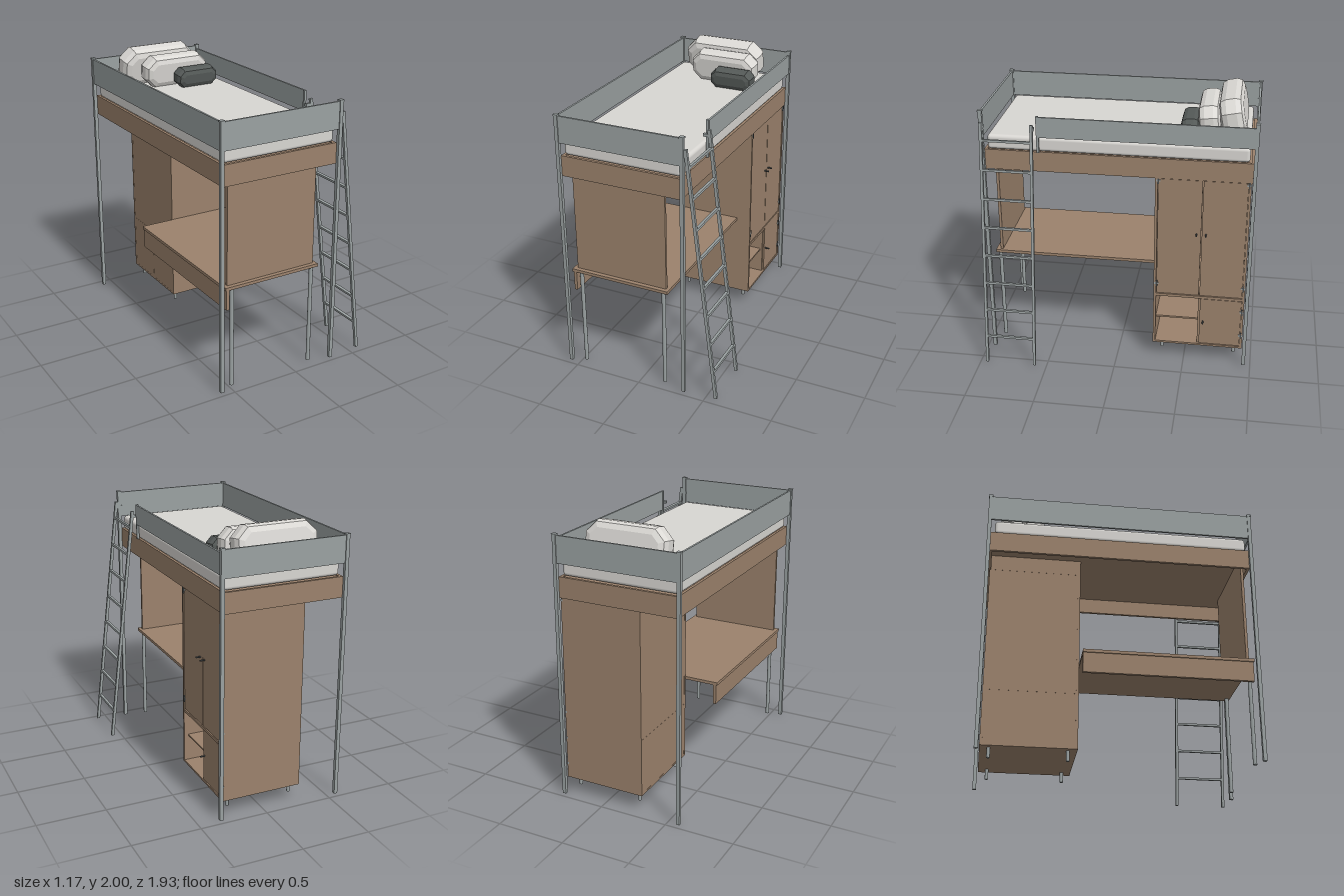
import * as THREE from 'three';
import { RoundedBoxGeometry } from 'three/addons/geometries/RoundedBoxGeometry.js';

const mat = (color, flatShading = false) => new THREE.MeshStandardMaterial({ color, flatShading });

export function createModel() {
  const model = new THREE.Group();
  const wood = mat(0x9b826c), metal = mat(0x9aa1a1), steel = mat(0x4a4e4f);
  const linen = mat(0xd8d6d2), pale = mat(0xdcdad6, true), dark = mat(0x555a58, true);

  const add = (name, geometry, material, parent = model) => {
    const mesh = new THREE.Mesh(geometry, material);
    mesh.name = name;
    parent.add(mesh);
    return mesh;
  };
  // Box given by its extents on each axis
  const box = (name, material, [x0, x1], [y0, y1], [z0, z1], parent = model) => {
    const mesh = add(name, new THREE.BoxGeometry(x1 - x0, y1 - y0, z1 - z0), material, parent);
    mesh.position.set((x0 + x1) / 2, (y0 + y1) / 2, (z0 + z1) / 2);
    return mesh;
  };
  const group = (name) => {
    const g = new THREE.Group();
    g.name = name;
    model.add(g);
    return g;
  };

  // Corner posts with small caps
  const posts = group('cornerPosts');
  for (const x of [-0.575, 0.33]) for (const z of [-0.95, 0.95]) {
    box('post', metal, [x - 0.013, x + 0.013], [0.005, 1.91], [z - 0.013, z + 0.013], posts);
    box('postCap', metal, [x - 0.016, x + 0.016], [1.908, 1.92], [z - 0.016, z + 0.016], posts);
  }

  // Guard rails; the right one stops short of the ladder
  const guards = group('guardRails');
  for (const z of [-0.95, 0.95])
    box('endGuard', metal, [-0.575, 0.33], [1.72, 1.91], [z - 0.007, z + 0.007], guards);
  box('leftGuard', metal, [-0.582, -0.568], [1.72, 1.91], [-0.95, 0.95], guards);
  box('rightGuard', metal, [0.324, 0.338], [1.74, 1.888], [-0.95, 0.555], guards);
  box('guardSupport', metal, [0.317, 0.334], [1.625, 1.89], [0.545, 0.562], guards);

  // Wooden bed frame and base
  const frame = group('bedFrame');
  for (const z of [-0.931, 0.931])
    box('endBoard', wood, [-0.562, 0.316], [1.478, 1.625], [z - 0.01, z + 0.01], frame);
  for (const x of [-0.552, 0.306])
    box('sideBoard', wood, [x - 0.01, x + 0.01], [1.478, 1.625], [-0.922, 0.922], frame);
  box('bedBase', wood, [-0.545, 0.3], [1.595, 1.618], [-0.925, 0.925], frame);

  const mattress = add('mattress', new RoundedBoxGeometry(0.86, 0.107, 1.83, 3, 0.025), linen);
  mattress.position.set(-0.122, 1.677, 0.005);

  // Faceted cushions: bevelled octagon blocks
  const cushion = (name, material, w, h, t, x, y, z, lean) => {
    const b = t * 0.3, hw = w / 2 - b, hh = h / 2 - b, c = Math.min(hh * 0.6, 0.05);
    const pts = [[hw, hh - c], [hw - c, hh], [c - hw, hh], [-hw, hh - c],
      [-hw, c - hh], [c - hw, -hh], [hw - c, -hh], [hw, c - hh]];
    const shape = new THREE.Shape(pts.map(([u, v]) => new THREE.Vector2(u, v)));
    const geometry = new THREE.ExtrudeGeometry(shape,
      { depth: t - 2 * b, bevelThickness: b, bevelSize: b, bevelSegments: 2 });
    geometry.translate(0, 0, b - t / 2);
    const mesh = add(name, geometry, material);
    mesh.position.set(x, y, z);
    mesh.rotation.x = lean;
  };
  cushion('largePillow', pale, 0.6, 0.28, 0.17, -0.125, 1.863, -0.775, 0.2);
  cushion('mediumPillow', pale, 0.51, 0.23, 0.15, -0.06, 1.842, -0.617, 0.12);
  cushion('smallCushion', dark, 0.33, 0.145, 0.13, 0.055, 1.8, -0.49, 0.1);

  // Wardrobe carcass
  const wardrobe = group('wardrobe');
  const depth = [-0.285, 0.296];
  for (const z of [-0.275, -0.922])
    box('sidePanel', wood, [-0.285, 0.313], [0.13, 1.595], [z - 0.009, z + 0.009], wardrobe);
  box('backPanel', wood, [-0.284, -0.27], [0.13, 1.595], [-0.92, -0.275], wardrobe);
  box('bottomPanel', wood, [-0.285, 0.312], [0.13, 0.145], [-0.925, -0.27], wardrobe);
  box('middlePanel', wood, [-0.285, 0.312], [0.535, 0.555], [-0.925, -0.27], wardrobe);
  box('topPanel', wood, [-0.285, 0.312], [1.478, 1.595], [-0.925, -0.27], wardrobe);
  box('divider', wood, depth, [0.14, 0.54], [-0.61, -0.595], wardrobe);
  box('shelf', wood, [-0.28, 0.28], [0.335, 0.348], [-0.6, -0.28], wardrobe);

  // Doors, knobs, hinges and feet
  const doors = [['leftDoor', 0.56, 1.473, -0.597, -0.287], ['rightDoor', 0.56, 1.473, -0.911, -0.603],
    ['lowerDoor', 0.15, 0.53, -0.911, -0.61]];
  for (const [name, y0, y1, z0, z1] of doors)
    box(name, wood, [0.292, 0.308], [y0, y1], [z0, z1], wardrobe);
  for (const [y, z] of [[1.06, -0.565], [1.06, -0.632], [0.34, -0.635]]) {
    const knob = add('knob', new THREE.CylinderGeometry(0.006, 0.006, 0.035, 12), steel, wardrobe);
    knob.rotation.z = Math.PI / 2;
    knob.position.set(0.325, y, z);
  }
  for (const [y, z] of [[0.64, -0.287], [1.46, -0.287], [0.64, -0.917], [1.46, -0.917], [0.24, -0.917], [0.44, -0.917]]) {
    box('hingePlate', steel, [0.306, 0.316], [y - 0.025, y + 0.025], [z - 0.006, z + 0.006], wardrobe);
    box('hingeArm', metal, [0.3, 0.314], [y - 0.007, y + 0.007], [z - 0.016, z + 0.016], wardrobe);
  }
  for (const x of [-0.235, 0.245]) for (const z of [-0.33, -0.868])
    add('foot', new THREE.CylinderGeometry(0.012, 0.012, 0.075, 16), metal, wardrobe).position.set(x, 0.095, z);

  // Desk
  const desk = group('desk');
  box('deskTop', wood, [-0.535, 0.205], [0.745, 0.767], [-0.266, 0.935], desk);
  box('modestyPanel', wood, [-0.527, -0.505], [0.6, 0.745], [-0.266, 0.93], desk);
  box('endPanel', wood, [-0.507, 0.182], [0.767, 1.595], [0.885, 0.905], desk);
  for (const x of [-0.474, 0.165])
    add('deskLeg', new THREE.CylinderGeometry(0.014, 0.014, 0.735, 20), metal, desk).position.set(x, 0.378, 0.91);

  // Leaning ladder
  const ladder = group('ladder');
  const foot = new THREE.Vector2(0.573, 0.015), top = new THREE.Vector2(0.353, 1.835);
  const span = top.clone().sub(foot), lean = Math.atan2(-span.x, span.y);
  for (const z of [0.588, 0.946]) {
    const rail = add('ladderRail', new THREE.BoxGeometry(0.022, span.length(), 0.02), metal, ladder);
    rail.position.set((foot.x + top.x) / 2, (foot.y + top.y) / 2, z);
    rail.rotation.z = lean;
    box('ladderHook', metal, [0.31, 0.365], [1.785, 1.805], [z - 0.01, z + 0.01], ladder);
  }
  for (let i = 0; i < 8; i++) {
    const y = 0.225 + i * 0.2122, x = foot.x + span.x * (y - foot.y) / span.y;
    const rung = add('rung', new THREE.BoxGeometry(0.022, 0.016, 0.36), metal, ladder);
    rung.position.set(x, y, 0.767);
    rung.rotation.z = lean;
  }

  return model;
}
